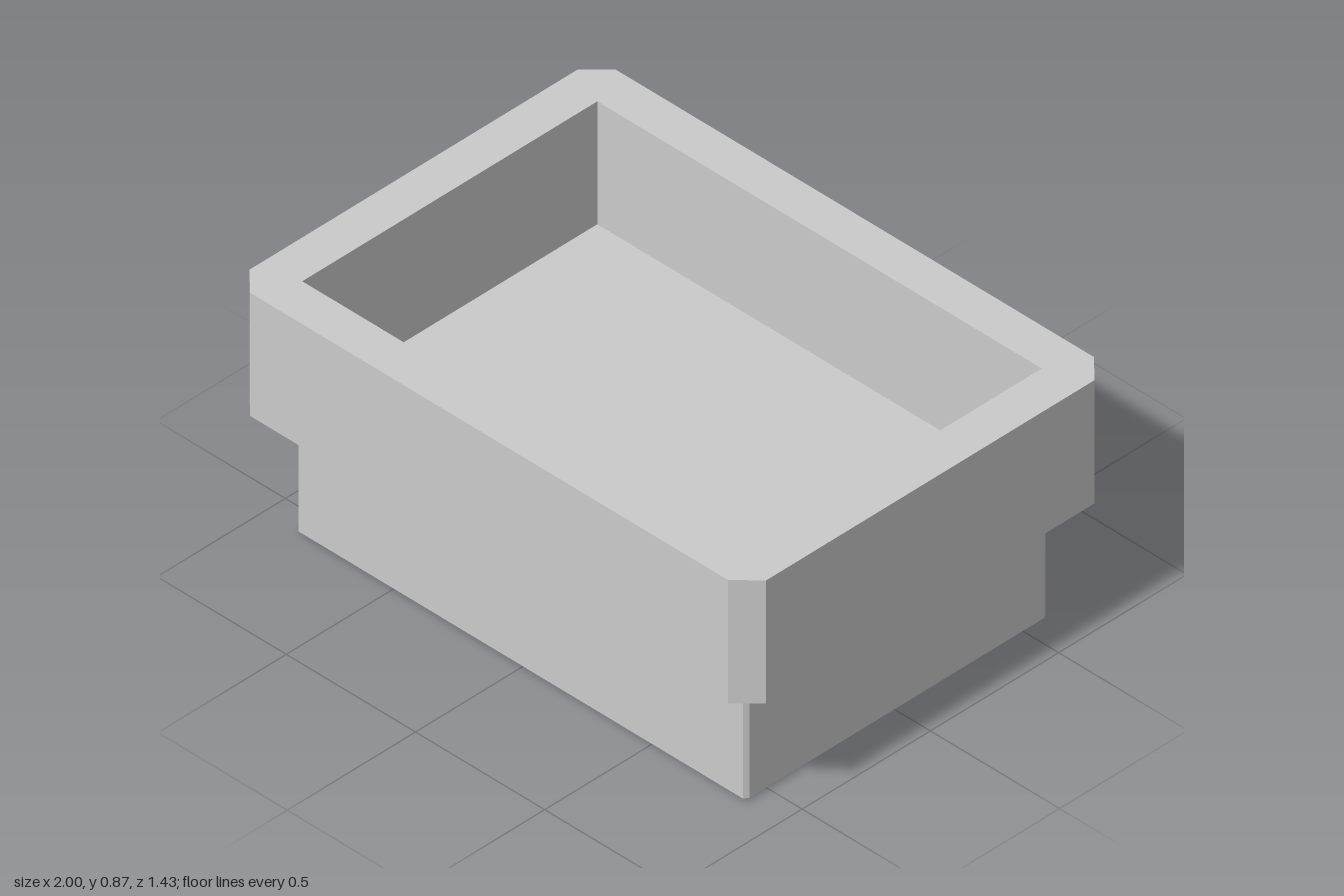
import * as THREE from 'three';

const grey = new THREE.MeshStandardMaterial({ color: 0xcccccc, flatShading: true });

const shapeOf = (pts) => new THREE.Shape(pts.map(([x, y]) => new THREE.Vector2(x, y)));
const rect = (x0, x1, y0, y1) => [[x0, y0], [x1, y0], [x1, y1], [x0, y1]];
// Rectangle with cut corners
const cutRect = (a, b, ca, cb) => [
  [a, -b + cb], [a, b - cb], [a - ca, b], [-a + ca, b],
  [-a, b - cb], [-a, -b + cb], [-a + ca, -b], [a - ca, -b]];

function mesh(name, geometry, parent) {
  const m = new THREE.Mesh(geometry, grey);
  m.name = name;
  parent.add(m);
  return m;
}

// Extrudes a plan (x, -z) upward from y0 to y1
function slab(name, shape, y0, y1, parent) {
  const g = new THREE.ExtrudeGeometry(shape, { depth: y1 - y0, bevelEnabled: false });
  g.rotateX(-Math.PI / 2).translate(0, y0, 0);
  return mesh(name, g, parent);
}

// Box given by its limits
function box(name, x0, x1, y0, y1, z0, z1, parent) {
  const m = mesh(name, new THREE.BoxGeometry(x1 - x0, y1 - y0, z1 - z0), parent);
  m.position.set((x0 + x1) / 2, (y0 + y1) / 2, (z0 + z1) / 2);
  return m;
}

// Open shelving: corner posts and evenly spaced boards
function shelfUnit(name, x0, x1, z0, z1, height, parent) {
  const unit = new THREE.Group();
  unit.name = name;
  const t = 0.01, levels = 5;
  for (let i = 0; i < levels; i++) {
    const y = i * (height - t) / (levels - 1);
    box('shelfBoard', x0, x1, y, y + t, z0, z1, unit);
  }
  for (const x of [x0, x1 - t]) for (const z of [z0, z1 - t]) {
    box('shelfPost', x, x + t, 0.002, height - 0.002, z, z + t, unit);
  }
  parent.add(unit);
}

export function createModel() {
  const model = new THREE.Group();
  model.name = 'shopBuilding';

  // Tall overhanging parapet with an open top
  const parapet = shapeOf(cutRect(1, 0.713, 0.075, 0.073));
  parapet.holes.push(shapeOf(rect(-0.86, 0.86, -0.575, 0.575)));
  slab('parapet', parapet, 0.44, 0.865, model);

  // Roof and floor
  slab('roof', shapeOf(cutRect(0.868, 0.588, 0.01, 0.015)), 0.425, 0.441, model);
  slab('floor', shapeOf(cutRect(0.868, 0.588, 0.01, 0.015)), 0.01, 0.02, model);

  // Front and side walls in one piece, open at the back
  const half = [[0.85, 0.59], [0.86, 0.59], [0.87, 0.575], [0.87, -0.575], [0.86, -0.59]];
  const mirrored = half.map(([x, y]) => [-x, y]).reverse();
  const inner = [[-0.85, -0.57], [0.85, -0.57]];
  slab('frontAndSideWalls', shapeOf([...half, ...mirrored, ...inner]), 0.01, 0.44, model);

  // Back wall with three display windows and a double door
  const backWall = shapeOf(rect(-0.85, 0.85, 0.01, 0.44));
  const openings = [
    [0.46, 0.69, 0.045, 0.42], [0.175, 0.4, 0.045, 0.42],
    [-0.108, 0.108, 0.02, 0.34], [-0.405, -0.175, 0.045, 0.42]];
  for (const o of openings) backWall.holes.push(shapeOf(rect(...o)));
  const wall = new THREE.ExtrudeGeometry(backWall, { depth: 0.02, bevelEnabled: false });
  mesh('backWall', wall.translate(0, 0, -0.59), model);
  box('doorMullion', -0.012, 0.012, 0.02, 0.34, -0.588, -0.572, model);

  // Boards standing in two of the windows
  for (const x of [0.49, 0.205]) {
    box('windowBoard', x, x + 0.15, 0.04, 0.18, -0.59, -0.582, model);
  }

  // Interior fittings
  shelfUnit('centreShelves', 0.14, 0.64, -0.4, -0.34, 0.24, model);
  shelfUnit('sideShelves', 0.77, 0.84, -0.43, 0.43, 0.24, model);
  box('partition', -0.46, -0.45, 0.006, 0.425, -0.57, 0, model);

  return model;
}
